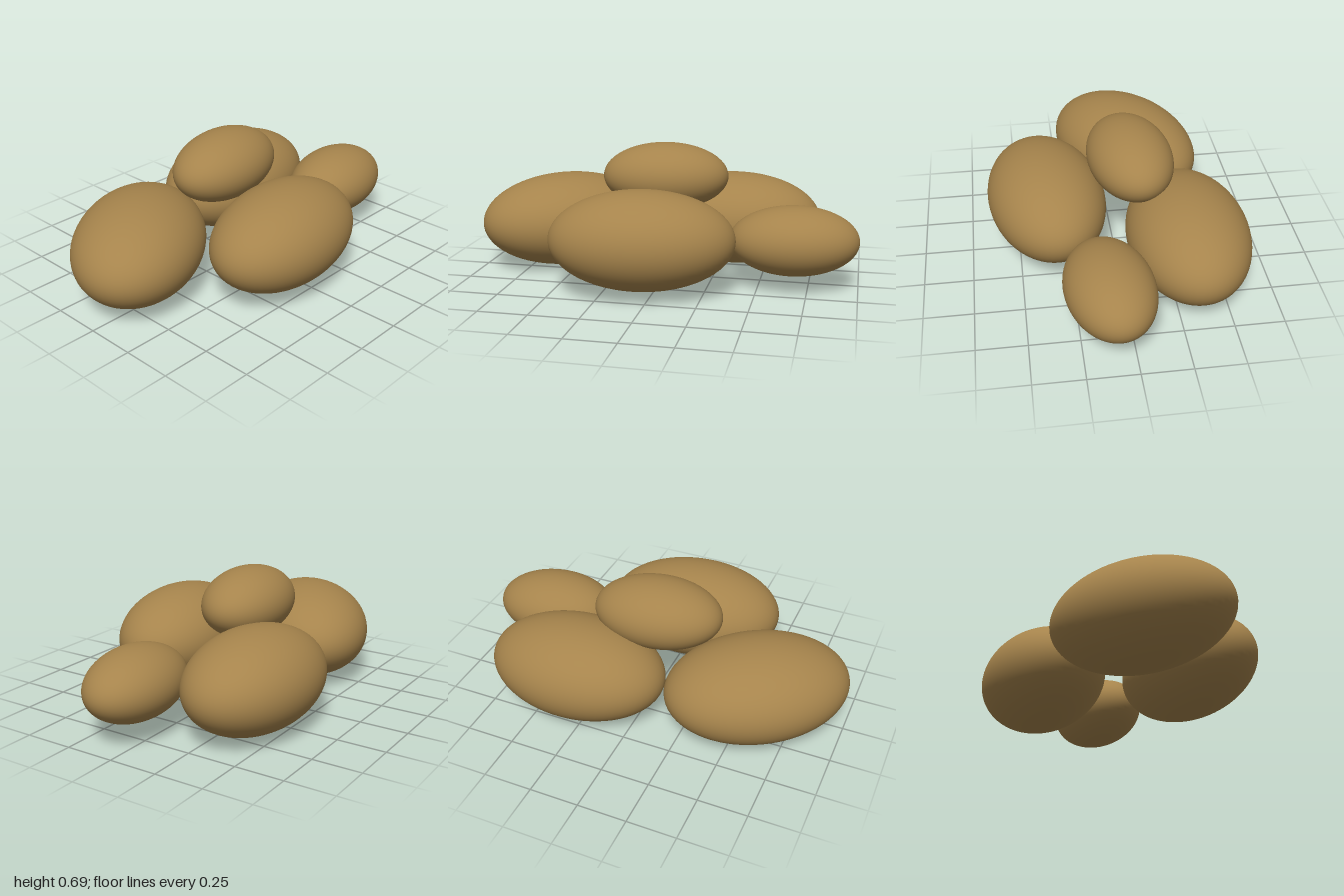
import * as THREE from 'three';

// A loose pile of smooth, oval tubers
export function createModel() {
  const model = new THREE.Group();
  model.name = 'tuberPile';

  const skin = new THREE.MeshStandardMaterial({ color: 0xa6844c });
  skin.name = 'earthy brown skin';

  const ball = new THREE.SphereGeometry(1, 64, 40);

  // name, centre, half sizes (width, height, length), turn about y in degrees
  const tubers = [
    ['rightTuber', [-0.34, 0.252, -0.32], [0.308, 0.248, 0.462], 2],
    ['frontTuber', [-0.14, 0.252, 0.573], [0.325, 0.248, 0.471], 35],
    ['leftTuber', [0.345, 0.282, 0.05], [0.302, 0.248, 0.462], 7.5],
    ['backTuber', [0.102, 0.255, -0.677], [0.217, 0.175, 0.324], 7],
    ['topTuber', [-0.09, 0.52, 0.018], [0.216, 0.175, 0.329], 7],
  ];

  for (const [name, centre, half, turn] of tubers) {
    const tuber = new THREE.Mesh(ball, skin);
    tuber.name = name;
    tuber.position.set(...centre);
    tuber.scale.set(...half);
    tuber.rotation.y = THREE.MathUtils.degToRad(turn);
    model.add(tuber);
  }
  return model;
}
